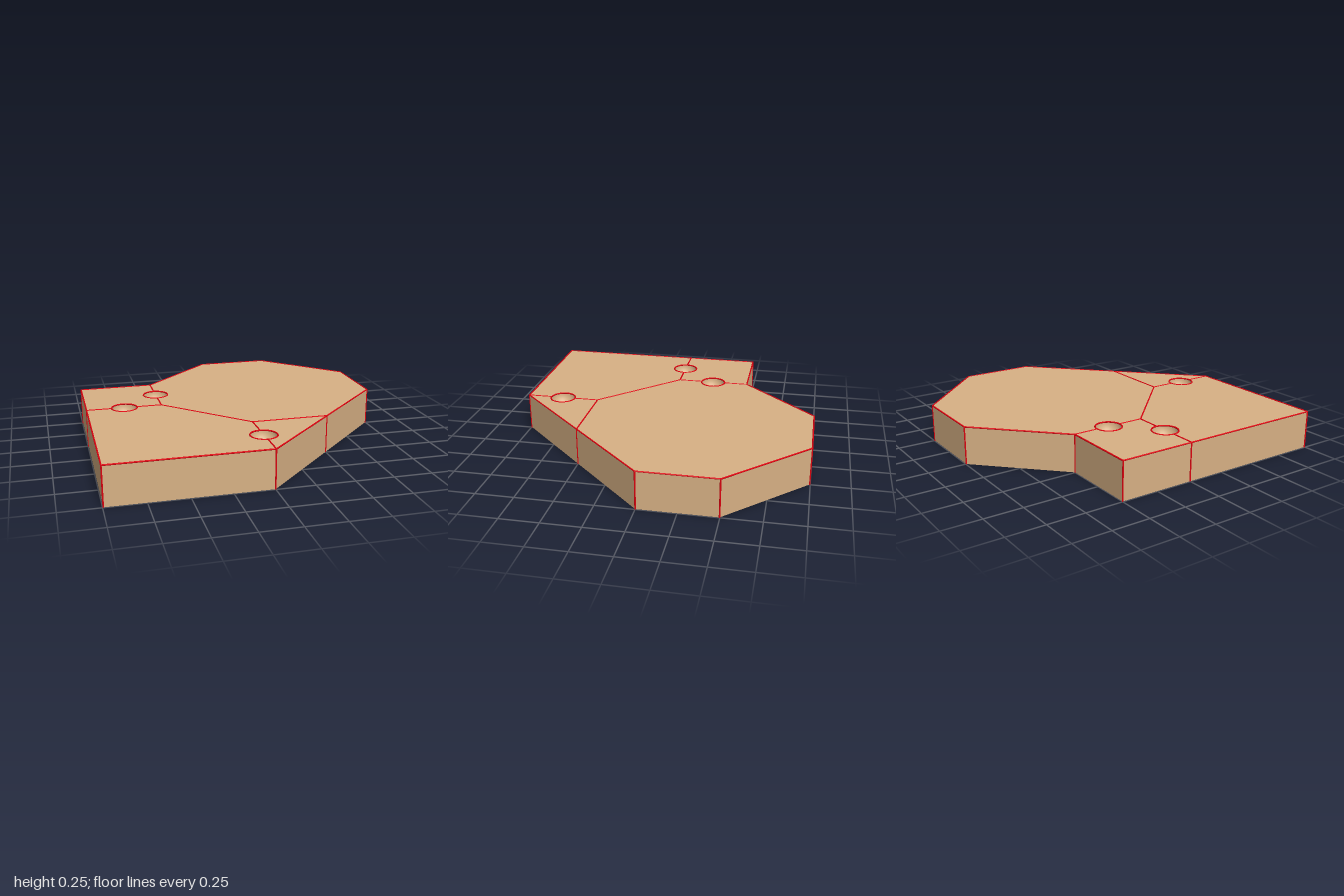
import * as THREE from 'three';

export function createModel() {
  const model = new THREE.Group();
  const wood = new THREE.MeshStandardMaterial({ color: 0xd8b185 });
  wood.name = 'tan wood';
  const red = new THREE.MeshStandardMaterial({ color: 0xf00010 });
  red.name = 'red edging';

  const H = 0.25, PIT = 0.085, LINE = 0.005, SPLIT = 0.13;
  const S = 0.996; // keeps the edging inside a two unit footprint
  const at = ([x, z], y) => new THREE.Vector3(x * S, y, z * S);

  // Plan as x, z corners
  const outline = [[-1, 1], [0, 1], [0.5, 0.5], [1, 0], [1, -0.5], [0.5, -1],
    [0, -1], [-0.5, -0.5], [-1, -0.5], [-1, 0]];
  const pits = [[-0.5, -0.25], [-0.75, 0], [0, 0.75]];

  function add(name, geometry, material, parent = model) {
    const mesh = new THREE.Mesh(geometry, material);
    mesh.name = name;
    parent.add(mesh);
    return mesh;
  }

  // Slab extruded upwards, optionally pierced by the pits
  function slab(name, y, height, pierced) {
    const shape = new THREE.Shape(outline.map(([x, z]) => new THREE.Vector2(x * S, -z * S)));
    if (pierced) {
      for (const [x, z] of pits) {
        shape.holes.push(new THREE.Path().absarc(x * S, -z * S, PIT, 0, Math.PI * 2, true));
      }
    }
    const geometry = new THREE.ExtrudeGeometry(shape, { depth: height, bevelEnabled: false, curveSegments: 32 });
    geometry.rotateX(-Math.PI / 2).translate(0, y, 0);
    add(name, geometry, wood);
  }
  slab('lowerSlab', 0, SPLIT, false);
  slab('upperSlab', SPLIT, H - SPLIT, true);

  // Round pits: bowl profile runs downward so it faces inward
  const bowl = [];
  for (let i = 0; i <= 10; i++) {
    const a = (i / 10) * Math.PI / 2;
    bowl.push(new THREE.Vector2(PIT * Math.cos(a), -PIT * Math.sin(a)));
  }
  for (const p of pits) {
    add('pitBowl', new THREE.LatheGeometry(bowl, 32), wood).position.copy(at(p, H));
    const rim = add('pitRim', new THREE.TorusGeometry(PIT, LINE, 6, 32), red);
    rim.rotation.x = Math.PI / 2;
    rim.position.copy(at(p, H));
  }

  // Thin red edging along edges and seams
  const edging = new THREE.Group();
  edging.name = 'edging';
  model.add(edging);
  const up = new THREE.Vector3(0, 1, 0);
  function line(name, a, b) {
    const dir = b.clone().sub(a);
    const mesh = add(name, new THREE.CylinderGeometry(LINE, LINE, dir.length(), 6), red, edging);
    mesh.position.copy(a).add(b).multiplyScalar(0.5);
    mesh.quaternion.setFromUnitVectors(up, dir.normalize());
  }
  outline.forEach((p, i) => {
    line('topEdge', at(p, H), at(outline[(i + 1) % outline.length], H));
    line('cornerEdge', at(p, 0), at(p, H));
  });

  // Seams between the four pieces, stopping at each pit
  const r = PIT / S;
  const seams = [
    [[-0.5, -0.5], [-0.5, -0.25 - r]], [[-0.5, -0.25 + r], [-0.5, 0]],
    [[-1, 0], [-0.75 - r, 0]], [[-0.75 + r, 0], [-0.5, 0]],
    [[-0.5, 0], [0, 0.5]], [[0, 0.5], [0.5, 0.5]],
    [[0, 0.5], [0, 0.75 - r]], [[0, 0.75 + r], [0, 1]],
  ];
  for (const [a, b] of seams) line('seam', at(a, H), at(b, H));

  return model;
}
